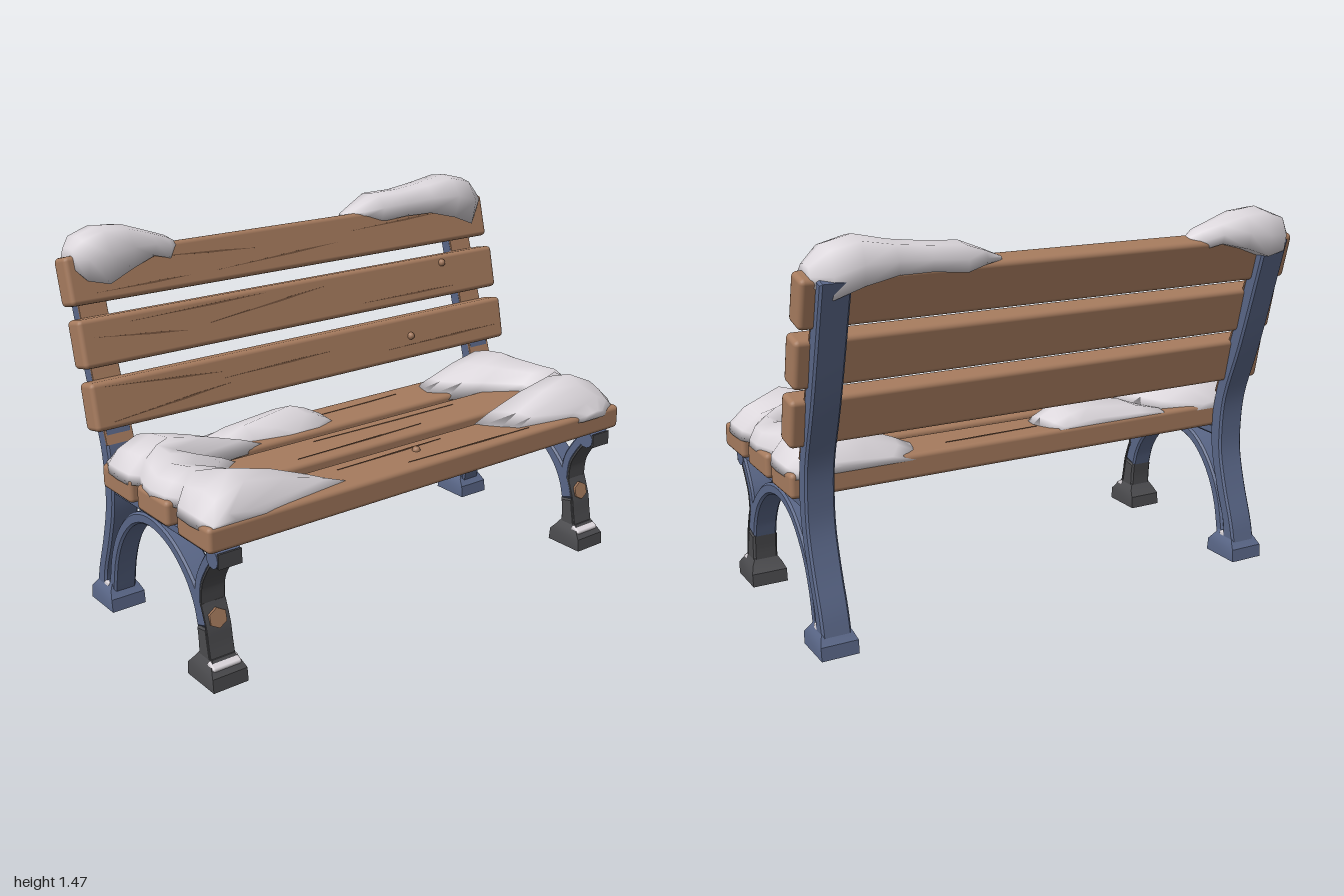
import * as THREE from 'three';
import { toCreasedNormals } from 'three/addons/utils/BufferGeometryUtils.js';
import { RoundedBoxGeometry } from 'three/addons/geometries/RoundedBoxGeometry.js';

const mat = (name, color) => Object.assign(new THREE.MeshStandardMaterial({ color }), { name });

// Closed skin through rings of equal length, capped at both ends
function loft(rings) {
  const n = rings[0].length, pos = rings.flat(2), idx = [];
  const v = i => new THREE.Vector3().fromArray(pos, i * 3);
  for (let r = 0; r < rings.length - 1; r++) for (let i = 0; i < n; i++) {
    const a = r * n + i, b = r * n + (i + 1) % n;
    idx.push(a, b, a + n, b, b + n, a + n);
  }
  [0, rings.length - 1].forEach((r, end) => {
    const c = pos.length / 3;
    for (let k = 0; k < 3; k++) pos.push(rings[r].reduce((s, p) => s + p[k], 0) / n);
    for (let i = 0; i < n; i++) {
      const a = r * n + i, b = r * n + (i + 1) % n;
      idx.push(...(end ? [a, b, c] : [b, a, c]));
    }
  });
  // Turn the skin outward
  let volume = 0;
  for (let i = 0; i < idx.length; i += 3) volume += v(idx[i]).dot(v(idx[i + 1]).cross(v(idx[i + 2])));
  if (volume < 0) idx.reverse();
  const g = new THREE.BufferGeometry();
  g.setAttribute('position', new THREE.Float32BufferAttribute(pos, 3));
  g.setIndex(idx);
  g.computeVertexNormals();
  return g;
}

// Cast bar in the z-y plane along points [z, y, width]; a..b is the share of the width used
function ribbon(points, depth, a = -0.5, b = 0.5, bevel = 0.008) {
  const curve = new THREE.CatmullRomCurve3(points.map(p => new THREE.Vector3(...p)));
  const front = [], back = [];
  for (let i = 0; i <= 28; i++) {
    const p = curve.getPoint(i / 28), t = curve.getTangent(i / 28), l = Math.hypot(t.x, t.y);
    const at = s => new THREE.Vector2(p.x + t.y / l * p.z * s, p.y - t.x / l * p.z * s);
    front.push(at(b));
    back.unshift(at(a));
  }
  const g = new THREE.ExtrudeGeometry(new THREE.Shape([...front, ...back]), {
    depth: depth - 2 * bevel, bevelThickness: bevel, bevelSize: bevel, bevelOffset: -bevel, bevelSegments: 1
  });
  g.translate(0, 0, bevel - depth / 2).rotateY(-Math.PI / 2);
  return toCreasedNormals(g, 0.6);
}

// Snow on the seat: rows [z, outer x, inner x, height] with the crest at share `crest`
function seatSnow(rows, side, crest) {
  const profile = [[0, -0.02], [0.01, 0.15], [crest * 0.35, 0.62], [crest, 1], [crest + (1 - crest) * 0.35, 0.72],
    [crest + (1 - crest) * 0.7, 0.3], [1, -0.02]];
  return loft(rows.map(([z, outer, inner, h]) => profile.map(([t, f]) =>
    [side * (outer + (inner - outer) * t), 0.622 + (f < 0 ? f : f * h), z])));
}

// Snow wrapped over the top slat: sections [x, top, bottom, front z, back z]
function topSnow(sections, side) {
  return loft(sections.map(([x, top, low, f, b]) => {
    const h = top - low, w = f - b;
    return [[f - w * 0.12, low], [f, low + h * 0.55], [f - w * 0.25, top - h * 0.06], [f - w * 0.5, top],
      [b + w * 0.14, top - h * 0.08], [b, low + h * 0.5], [b + w * 0.05, low + h * 0.1]].map(([z, y]) => [side * x, y, z]);
  }));
}

export function createModel() {
  const model = new THREE.Group();
  model.name = 'snowyBench';
  const wood = mat('wood', 0xa67b5e), grain = mat('woodGrain', 0x77563f), iron = mat('paintedIron', 0x5a6788),
    dark = mat('bareIron', 0x4b4b4e), snow = mat('snow', 0xdcd7dc);
  const add = (parent, name, geometry, material, x = 0, y = 0, z = 0) => {
    const m = new THREE.Mesh(geometry, material);
    m.name = name;
    m.position.set(x, y, z);
    parent.add(m);
    return m;
  };

  // Planks with tapered grain cracks [x, y, length, tilt] on the face and a knot
  function slat(name, size, at, lean, cracks, knot) {
    const group = new THREE.Group();
    group.name = name;
    group.position.set(0, ...at);
    group.rotation.x = lean;
    const [w, h, d] = size;
    add(group, 'plank', new RoundedBoxGeometry(w, h, d, 2, 0.018), wood);
    for (const [x, y, len, tilt] of cracks) {
      const s = new THREE.Shape([[-0.5, 0], [0.1, -0.004], [0.5, 0], [0.2, 0.004]].map(([u, v]) => new THREE.Vector2(u * len, v)));
      add(group, 'grainCrack', new THREE.ExtrudeGeometry(s, { depth: 0.003, bevelEnabled: false }), grain, x, y, d / 2 - 0.001).rotation.z = tilt;
    }
    if (knot) add(group, 'knot', new THREE.SphereGeometry(0.016, 8, 6), wood, knot[0], knot[1], d / 2 + 0.002);
    model.add(group);
  }
  const back = [2, 0.178, 0.095], seat = [1.96, 0.208, 0.095];
  slat('lowerBackSlat', back, [0.829, -0.264], -0.2, [[-0.7, 0.05, 0.5, -0.08], [-0.68, -0.04, 0.5, 0.09], [-0.2, 0.01, 0.5, 0.02], [0.65, -0.03, 0.6, 0.01]], [0.47, 0.005]);
  slat('middleBackSlat', back, [1.047, -0.327], -0.22, [[-0.75, 0, 0.4, -0.1], [-0.2, 0.02, 0.55, 0.1], [-0.5, 0.06, 0.6, 0.02], [0.5, -0.05, 0.5, 0]], [0.7, 0.055]);
  slat('topBackSlat', back, [1.262, -0.4], -0.25, [[-0.45, 0.03, 0.5, -0.06], [-0.1, -0.03, 0.6, 0.05], [-0.7, -0.05, 0.4, 0.02], [0.5, 0.03, 0.5, 0.04]]);
  // Seat planks lie flat, face up
  slat('rearSeatSlat', seat, [0.577, -0.126], -Math.PI / 2, [[0.15, 0.03, 0.4, 0.03]]);
  slat('middleSeatSlat', seat, [0.577, 0.126], -Math.PI / 2, [[0.1, 0.05, 0.7, -0.01], [-0.1, -0.05, 0.6, 0.02]]);
  slat('frontSeatSlat', seat, [0.577, 0.396], -Math.PI / 2, [[-0.1, 0.05, 0.5, 0.02], [0.2, -0.06, 0.6, -0.02]], [0, 0.02]);

  // Hollow foot: sections [y, half width, half length] from the recess out over the rim and up
  const footGeometry = toCreasedNormals(loft([[0.04, 0.035, 0.045], [0.002, 0.055, 0.065], [0, 0.07, 0.085], [0.05, 0.07, 0.08],
    [0.075, 0.06, 0.058], [0.1, 0.045, 0.042]].map(([y, a, b]) => [[a, y, b], [a, y, -b], [-a, y, -b], [-a, y, b]])), 0.5);

  // Cast end frames
  const post = [[-0.365, 0.05, 0.07], [-0.35, 0.14, 0.055], [-0.3, 0.28, 0.055], [-0.26, 0.42, 0.06], [-0.252, 0.53, 0.065],
    [-0.268, 0.67, 0.062], [-0.345, 0.9, 0.065], [-0.475, 1.335, 0.06]];
  const lowerLeg = [[0.38, 0.06, 0.085], [0.372, 0.14, 0.07], [0.364, 0.2, 0.066]];
  const arch = [[0.364, 0.2, 0.066], [0.338, 0.28, 0.062], [0.275, 0.365, 0.05], [0.16, 0.445, 0.045], [0.02, 0.472, 0.045],
    [-0.1, 0.435, 0.045], [-0.2, 0.34, 0.045], [-0.262, 0.22, 0.045], [-0.298, 0.06, 0.045]];
  const bracket = [[0.342, 0.28, 0.045], [0.352, 0.37, 0.045], [0.39, 0.44, 0.045], [0.44, 0.505, 0.045]];
  for (const side of [-1, 1]) {
    const frame = new THREE.Group();
    frame.name = side > 0 ? 'leftFrame' : 'rightFrame';
    frame.position.x = side * 0.893;
    model.add(frame);
    add(frame, 'backPost', ribbon(post, 0.11), iron);
    add(frame, 'postWoodFace', ribbon(post.slice(5), 0.112, 0.4, 0.53, 0.001), wood);
    add(frame, 'lowerFrontLeg', ribbon(lowerLeg, 0.097), dark);
    add(frame, 'arch', ribbon(arch, 0.092), iron);
    add(frame, 'frontBracket', ribbon(bracket, 0.092), iron);
    add(frame, 'seatRail', ribbon([[0.46, 0.513, 0.042], [0.1, 0.512, 0.042], [-0.25, 0.51, 0.045]], 0.092), iron);
    add(frame, 'scroll', new THREE.CylinderGeometry(0.036, 0.036, 0.096, 14), iron, 0, 0.492, 0.45).rotation.z = Math.PI / 2;
    add(frame, 'bareLegFace', ribbon([...lowerLeg, arch[1]], 0.098, 0.44, 0.56, 0.001), dark);
    add(frame, 'bareBracketFace', ribbon(bracket, 0.094, 0.4, 0.6, 0.001), dark);
    add(frame, 'bareScrollFace', new THREE.CylinderGeometry(0.039, 0.039, 0.098, 10, 1, true, -0.9, 1.8), dark, 0, 0.492, 0.45)
      .rotation.z = Math.PI / 2;
    frame.children.at(-1).rotation.set(0, 0, 0);
    frame.children.at(-1).geometry.dispose();
    frame.children.at(-1).geometry = new THREE.BoxGeometry(0.092, 0.055, 0.008);
    frame.children.at(-1).position.z = 0.485;
    add(frame, 'frontFoot', footGeometry, dark, 0, 0, 0.383);
    add(frame, 'backFoot', footGeometry, iron, 0, 0, -0.335);
    // Rust patch and snow dusting
    add(frame, 'rustPatch', new THREE.CylinderGeometry(0.037, 0.037, 0.016, 6), wood, 0, 0.235, 0.392).rotation.x = Math.PI / 2 - 0.22;
    add(frame, 'frontFootSnow', new RoundedBoxGeometry(0.115, 0.028, 0.045, 1, 0.008), snow, 0, 0.076, 0.428).rotation.x = 0.5;
    add(frame, 'backFootSnow', new RoundedBoxGeometry(0.11, 0.03, 0.04, 1, 0.008), snow, 0, 0.085, -0.325);
  }

  // Snow drifts on the seat
  add(model, 'rightSeatSnow', seatSnow([[-0.23, 0.96, 0.75, 0.02], [-0.18, 0.98, 0.52, 0.1], [-0.1, 0.985, 0.45, 0.123], [-0.035, 0.98, 0.36, 0.12],
    [0, 0.95, 0.68, 0.118], [0.06, 0.975, 0.55, 0.1], [0.12, 0.98, 0.65, 0.09], [0.2, 0.97, 0.56, 0.095], [0.25, 0.94, 0.7, 0.1],
    [0.3, 0.98, 0.46, 0.115], [0.39, 0.985, 0.38, 0.142], [0.445, 0.98, 0.32, 0.11], [0.495, 0.96, 0.72, 0.035]], -1, 0.27), snow);
  add(model, 'rearSeatSnow', seatSnow([[-0.225, 0.6, 0.07, 0.02], [-0.19, 0.6, 0.04, 0.06], [-0.12, 0.55, 0.02, 0.088],
    [-0.07, 0.42, 0.03, 0.06], [-0.04, 0.28, 0.12, 0.01]], -1, 0.62), snow);
  add(model, 'leftSeatSnow', seatSnow([[-0.23, 0.96, 0.5, 0.02], [-0.18, 0.98, 0.44, 0.1], [-0.1, 0.985, 0.42, 0.123], [-0.03, 0.98, 0.5, 0.125],
    [0.02, 0.955, 0.6, 0.115], [0.12, 0.98, 0.76, 0.09], [0.2, 0.98, 0.76, 0.095], [0.25, 0.955, 0.64, 0.105], [0.3, 0.98, 0.31, 0.118],
    [0.39, 0.985, 0.38, 0.145], [0.44, 0.98, 0.42, 0.11], [0.48, 0.95, 0.68, 0.06], [0.508, 0.88, 0.76, 0.01]], 1, 0.32), snow);

  // Snow caps on the top slat
  add(model, 'rightTopSnow', topSnow([[0.965, 1.38, 1.31, -0.35, -0.47], [0.93, 1.42, 1.27, -0.31, -0.51], [0.85, 1.45, 1.25, -0.295, -0.52],
    [0.75, 1.44, 1.29, -0.31, -0.52], [0.65, 1.405, 1.32, -0.335, -0.49], [0.58, 1.38, 1.3, -0.345, -0.46], [0.54, 1.355, 1.33, -0.38, -0.43]], -1), snow);
  add(model, 'leftTopSnow', topSnow([[0.965, 1.38, 1.31, -0.35, -0.46], [0.9, 1.44, 1.25, -0.3, -0.5], [0.8, 1.465, 1.29, -0.295, -0.52],
    [0.68, 1.44, 1.32, -0.32, -0.515], [0.55, 1.425, 1.32, -0.335, -0.5], [0.43, 1.42, 1.31, -0.345, -0.52],
    [0.34, 1.385, 1.33, -0.365, -0.48], [0.27, 1.355, 1.34, -0.4, -0.45]], 1), snow);
  return model;
}
